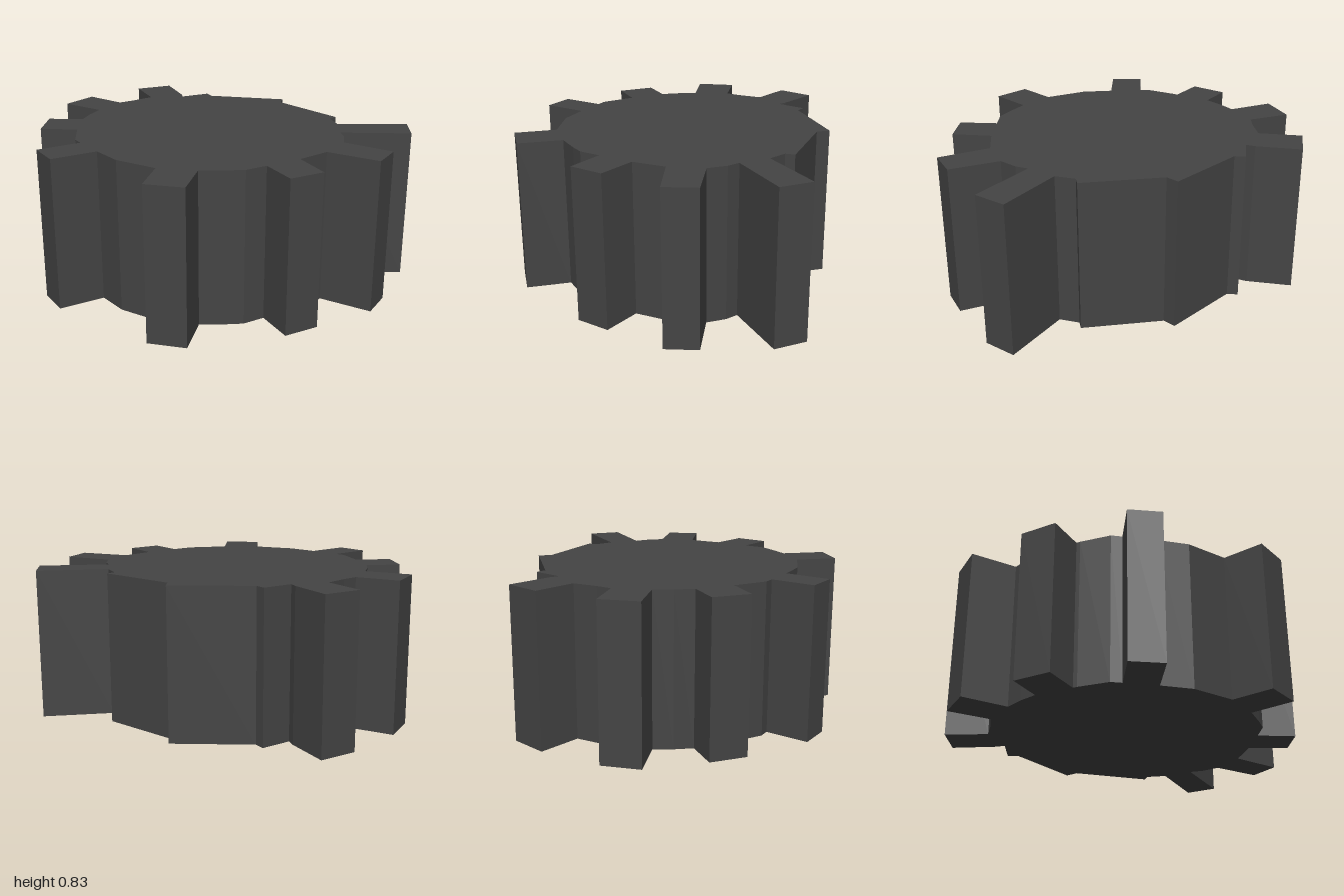
import * as THREE from 'three';

const HEIGHT = 0.83;

// Each tooth as [root, tip, tip, root] in plan (x, z), running round the rim
const teeth = [
  [[0.13, -0.71], [0.15, -0.96], [-0.06, -0.97], [-0.07, -0.73]],
  [[-0.29, -0.69], [-0.40, -0.90], [-0.59, -0.80], [-0.46, -0.58]],
  [[-0.61, -0.43], [-0.78, -0.52], [-0.88, -0.34], [-0.70, -0.24]],
  [[-0.76, 0.00], [-1.00, 0.02], [-0.98, 0.20], [-0.73, 0.18]],
  [[-0.56, 0.55], [-0.70, 0.73], [-0.54, 0.86], [-0.39, 0.67]],
  [[-0.06, 0.75], [-0.05, 0.96], [0.14, 0.95], [0.14, 0.73]],
  [[0.32, 0.69], [0.48, 0.93], [0.63, 0.83], [0.49, 0.59]],
  [[0.57, 0.43], [0.91, 0.61], [1.00, 0.45], [0.65, 0.28]],
];

// Rim corners that follow each tooth; the last run is the toothless stepped side
const rim = [
  [[-0.20, -0.70]],
  [[-0.54, -0.51]],
  [[-0.71, -0.22], [-0.77, -0.06]],
  [[-0.69, 0.35]],
  [[-0.26, 0.73], [-0.18, 0.76]],
  [],
  [[0.55, 0.50]],
  [[0.67, 0.17], [0.72, 0.155], [0.60, -0.27], [0.645, -0.33],
    [0.285, -0.60], [0.285, -0.66], [0.115, -0.66]],
];

export function createModel() {
  const group = new THREE.Group();
  group.name = 'gear';

  // Join teeth and rim into one closed outline
  const outline = [];
  teeth.forEach((tooth, i) => {
    for (const [x, z] of [...tooth, ...rim[i]]) outline.push(new THREE.Vector2(x, -z));
  });

  // Extrude upward so the outline lies in the ground plane
  const geometry = new THREE.ExtrudeGeometry(new THREE.Shape(outline), {
    depth: HEIGHT, bevelEnabled: false,
  });
  geometry.rotateX(-Math.PI / 2);

  const material = new THREE.MeshStandardMaterial({ color: 0x444444, flatShading: true });
  const gear = new THREE.Mesh(geometry, material);
  gear.name = 'gearBodyWithTeeth';
  group.add(gear);
  return group;
}
